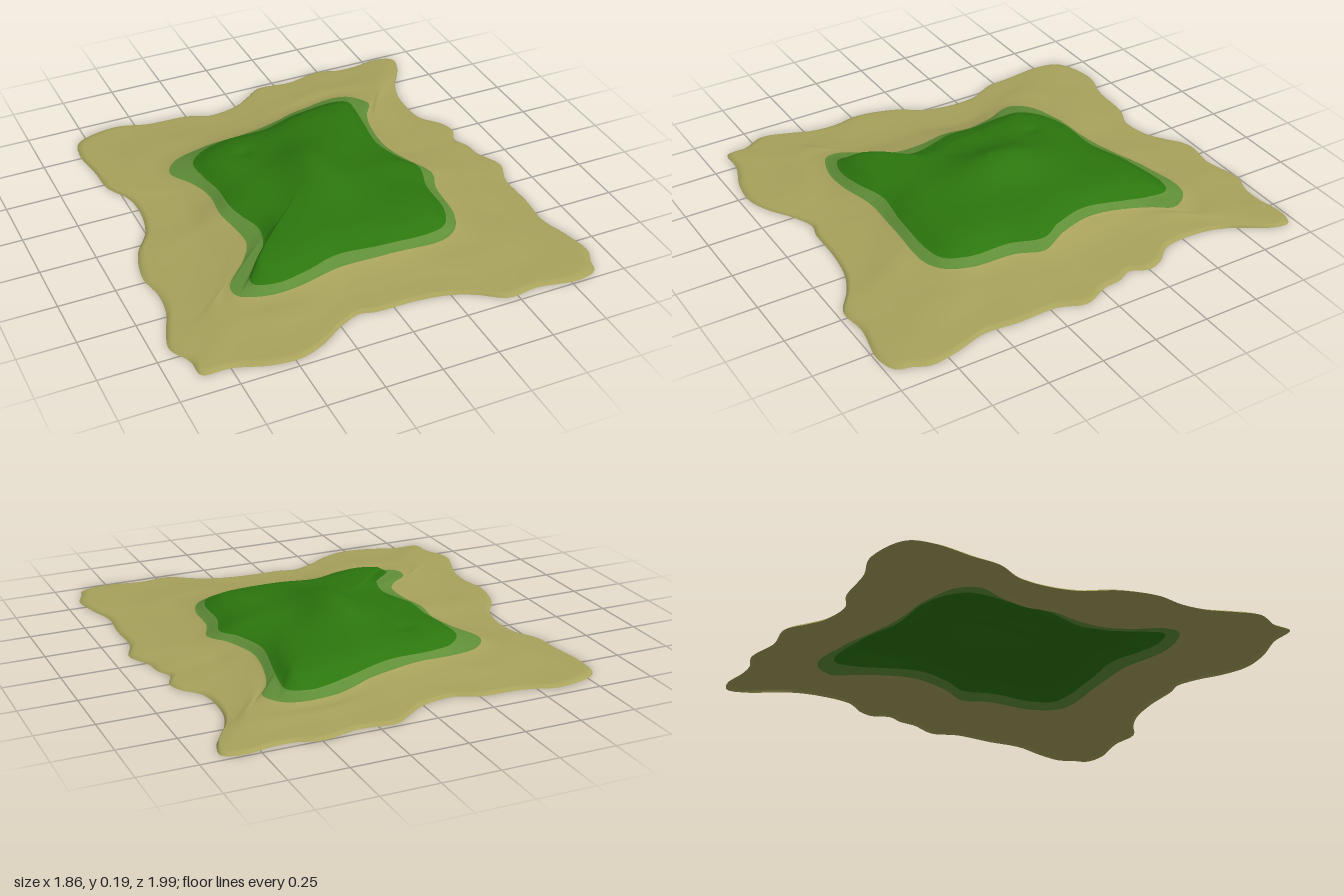
import * as THREE from 'three';

// Outlines as x, z pairs
const COAST = [
  -0.79, -0.88, -0.6, -0.94, -0.45, -0.9, -0.25, -0.885, -0.15, -0.845, 0, -0.87, 0.08, -0.92, 0.17, -0.98,
  0.33, -0.965, 0.5, -1, 0.6, -0.97, 0.7, -0.97, 0.82, -0.99, 0.9, -0.96, 0.88, -0.86, 0.8, -0.73,
  0.76, -0.6, 0.77, -0.41, 0.84, -0.32, 0.86, -0.25, 0.83, -0.17, 0.86, -0.1, 0.87, -0.02, 0.92, 0.1,
  0.88, 0.22, 0.88, 0.4, 0.87, 0.56, 0.91, 0.7, 0.93, 0.83, 0.9, 0.9, 0.88, 0.96, 0.79, 0.99,
  0.6, 0.96, 0.46, 0.97, 0.35, 0.9, 0.25, 0.855, 0.1, 0.83, -0.08, 0.825, -0.15, 0.81, -0.25, 0.85,
  -0.36, 0.92, -0.47, 0.96, -0.6, 0.95, -0.75, 0.9, -0.87, 0.89, -0.88, 0.8, -0.93, 0.69, -0.9, 0.58,
  -0.86, 0.47, -0.85, 0.35, -0.87, 0.22, -0.83, 0.05, -0.75, -0.08, -0.72, -0.22, -0.73, -0.35,
  -0.79, -0.47, -0.8, -0.6, -0.82, -0.77,
];
const VERGE = [
  -0.51, -0.41, -0.45, -0.5, -0.3, -0.545, -0.1, -0.56, 0.1, -0.61, 0.25, -0.67, 0.45, -0.7, 0.53, -0.67,
  0.58, -0.58, 0.53, -0.5, 0.49, -0.38, 0.47, -0.2, 0.51, -0.05, 0.57, 0.08, 0.53, 0.2, 0.51, 0.4,
  0.46, 0.5, 0.37, 0.55, 0.1, 0.55, -0.1, 0.545, -0.3, 0.58, -0.45, 0.58, -0.57, 0.53, -0.57, 0.45,
  -0.48, 0.36, -0.41, 0.25, -0.41, 0.13, -0.43, 0, -0.42, -0.15, -0.45, -0.27,
];
const HILL = [
  -0.4, -0.4, -0.33, -0.48, -0.2, -0.52, 0, -0.53, 0.2, -0.6, 0.4, -0.64, 0.48, -0.61, 0.48, -0.52,
  0.46, -0.4, 0.43, -0.2, 0.47, -0.05, 0.52, 0.05, 0.48, 0.2, 0.47, 0.38, 0.42, 0.48, 0.33, 0.51,
  0.1, 0.51, -0.1, 0.49, -0.25, 0.53, -0.4, 0.545, -0.49, 0.51, -0.48, 0.45, -0.38, 0.35,
  -0.33, 0.2, -0.36, 0.08, -0.38, 0, -0.38, -0.15, -0.4, -0.28,
];

const SEGMENTS = 480, HILL_ROWS = 24, VERGE_ROWS = 4, SAND_ROWS = 18;
const { lerp, clamp } = THREE.MathUtils;

// Radius of a smooth closed outline at each of the evenly spaced angles
function radii(pairs) {
  const points = [];
  for (let i = 0; i < pairs.length; i += 2) points.push(new THREE.Vector3(pairs[i], 0, pairs[i + 1]));
  const samples = new THREE.CatmullRomCurve3(points, true).getPoints(1200)
    .map((p) => [Math.atan2(p.z, p.x), Math.hypot(p.x, p.z)])
    .sort((a, b) => a[0] - b[0]);
  const first = samples[0], last = samples[samples.length - 1];
  samples.unshift([last[0] - 2 * Math.PI, last[1]]);
  samples.push([first[0] + 2 * Math.PI, first[1]]);
  let k = 0;
  return Array.from({ length: SEGMENTS }, (_, j) => {
    const angle = -Math.PI + (j / SEGMENTS) * 2 * Math.PI;
    while (k < samples.length - 2 && samples[k + 1][0] < angle) k++;
    const [a, b] = [samples[k], samples[k + 1]];
    return lerp(a[1], b[1], clamp((angle - a[0]) / (b[0] - a[0] || 1), 0, 1));
  });
}

// Height along a profile of [position, height] steps
function profile(steps, t) {
  let i = 0;
  while (i < steps.length - 2 && steps[i + 1][0] < t) i++;
  const [a, b] = [steps[i], steps[i + 1]];
  return lerp(a[1], b[1], clamp((t - a[0]) / (b[0] - a[0]), 0, 1));
}

const bump = (x, z, cx, cz, w, d) => Math.exp(-(((x - cx) / w) ** 2) - ((z - cz) / d) ** 2);
const ripple = (x, z) => Math.sin(11 * x + 4 * z + 2 * Math.sin(6 * z)) * Math.sin(9 * z - 5 * x);

export function createModel() {
  const coast = radii(COAST), verge = radii(VERGE), hill = radii(HILL);
  const vergeTop = VERGE_ROWS + HILL_ROWS, rows = vergeTop + SAND_ROWS;
  const positions = [];

  // Rings of the terrain, from the summit out to the shore
  for (let i = 0; i <= rows; i++) {
    for (let j = 0; j < SEGMENTS; j++) {
      const angle = -Math.PI + (j / SEGMENTS) * 2 * Math.PI;
      const vergeY = clamp(0.052 - (verge[j] - 0.5) * 0.09, 0.03, 0.055);
      const hillY = clamp(0.076 - (hill[j] - 0.45) * 0.09, 0.05, 0.078);
      let r, y;
      if (i <= HILL_ROWS) {
        const s = i / HILL_ROWS;
        r = hill[j] * s;
        y = profile([[0, 0.128], [0.35, 0.125], [0.6, 0.119], [0.75, 0.112], [0.88, 0.096], [1, hillY]], s);
      } else if (i <= vergeTop) {
        const s = (i - HILL_ROWS) / VERGE_ROWS;
        r = lerp(hill[j], verge[j], s);
        y = lerp(hillY, vergeY, s);
      } else {
        const s = ((i - vergeTop) / SAND_ROWS);
        const t = 1 - (1 - s) ** 1.4;
        r = lerp(verge[j], coast[j], t);
        y = profile([[0, vergeY], [0.15, vergeY * 0.75], [0.32, 0.026], [0.6, 0.017], [0.96, 0.011], [1, 0]], t);
      }
      const x = r * Math.cos(angle), z = r * Math.sin(angle);
      const inland = clamp((coast[j] - r) / 0.25, 0, 1);
      y += 0.066 * bump(x, z, 0.03, -0.03, 0.13, 0.22);
      y -= 0.012 * bump(x, z, -0.18, -0.33, 0.035, 0.035);
      y += 0.003 * inland * ripple(x, z);
      positions.push(x, y, z);
    }
  }

  // Triangles between two rows
  const band = (from, to) => {
    const index = [];
    for (let i = from; i < to; i++) {
      for (let j = 0; j < SEGMENTS; j++) {
        const n = (j + 1) % SEGMENTS;
        const a = i * SEGMENTS + j, b = i * SEGMENTS + n;
        const c = a + SEGMENTS, d = b + SEGMENTS;
        if (i > 0) index.push(a, b, c);
        index.push(b, d, c);
      }
    }
    return index;
  };

  const terrain = new THREE.BufferGeometry();
  terrain.setAttribute('position', new THREE.Float32BufferAttribute(positions, 3));
  terrain.setIndex(band(0, rows));
  terrain.computeVertexNormals();
  // The centre ring is a single point, so it shares one upright normal
  for (let j = 0; j < SEGMENTS; j++) terrain.attributes.normal.setXYZ(j, 0, 1, 0);

  const group = new THREE.Group();
  group.name = 'island';
  const addBand = (name, colorName, color, from, to) => {
    const material = new THREE.MeshStandardMaterial({ color, side: THREE.DoubleSide });
    material.name = colorName;
    const part = terrain.clone();
    part.setIndex(band(from, to));
    const mesh = new THREE.Mesh(part.toNonIndexed(), material);
    mesh.name = name;
    group.add(mesh);
  };
  addBand('grassyHill', 'dark green', 0x2c760e, 0, HILL_ROWS);
  addBand('grassVerge', 'light green', 0x608e38, HILL_ROWS, vergeTop);
  addBand('sandyBeach', 'sand', 0xa8a25c, vergeTop, rows);
  return group;
}
